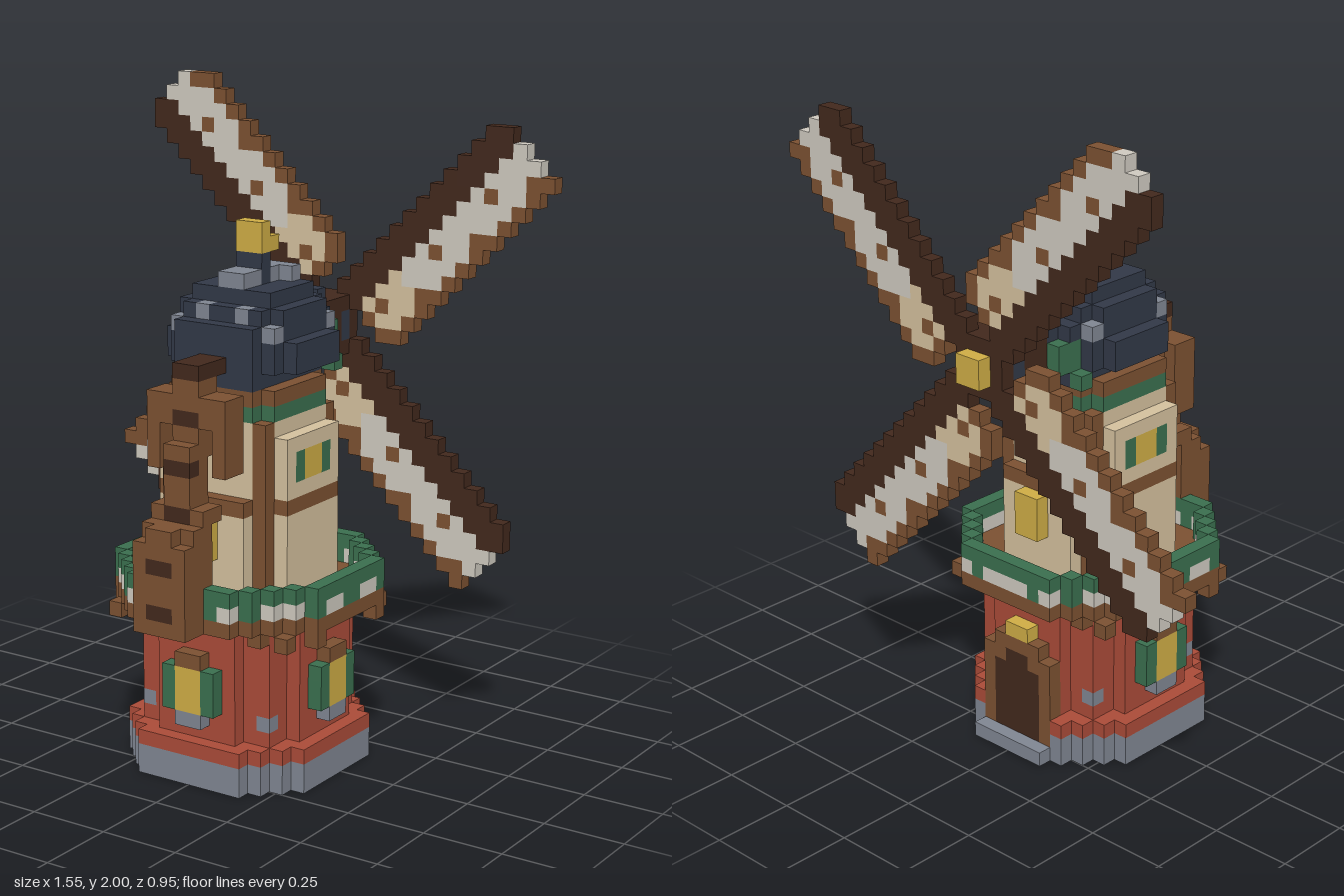
import * as THREE from 'three';

const V = 1 / 22; // edge of one block

const COLORS = {
  brickRed: 0xac4c39, timberBrown: 0x7d5232, darkTimber: 0x43291d, plasterTan: 0xd6c29f, sailWhite: 0xd0cbc1,
  stoneGrey: 0x818793, roofSlate: 0x323948, paintGreen: 0x3b704f, lampGold: 0xd0ae46,
};

// Six face directions, each with two in-plane axes (u x v = n)
const FACES = [
  [[1, 0, 0], [0, 1, 0], [0, 0, 1]], [[-1, 0, 0], [0, 0, 1], [0, 1, 0]],
  [[0, 1, 0], [0, 0, 1], [1, 0, 0]], [[0, -1, 0], [1, 0, 0], [0, 0, 1]],
  [[0, 0, 1], [1, 0, 0], [0, 1, 0]], [[0, 0, -1], [0, 1, 0], [1, 0, 0]],
];

export function createModel() {
  const blocks = new Map();
  const key = (x, y, z) => `${x},${y},${z}`;
  const set = (part, color, x, y, z) => blocks.set(key(x, y, z), { part, color, p: [x, y, z] });

  // Box between block edges [x0,x1) [y0,y1) [z0,z1)
  const box = (part, color, x0, x1, y0, y1, z0, z1) => {
    for (let x = x0; x < x1; x++) for (let y = y0; y < y1; y++) for (let z = z0; z < z1; z++) set(part, color, x, y, z);
  };
  // Stepped octagon test: half widths rx, rz, diagonal limit s, centre zc
  const inOct = (x, z, rx, rz, s, zc = 0) => {
    const a = Math.abs(x + 0.5), b = Math.abs(z + 0.5 - zc);
    return a < rx && b < rz && a + b <= s;
  };
  // Octagonal layer, optionally hollow; color may be a function of the cell
  const oct = (part, color, y0, y1, shape, hole) => {
    for (let x = -9; x < 9; x++) for (let z = -9; z < 9; z++) {
      if (!inOct(x, z, ...shape) || (hole && inOct(x, z, ...hole))) continue;
      const c = typeof color === 'function' ? color(x, z) : color;
      for (let y = y0; y < y1; y++) set(part, c, x, y, z);
    }
  };
  // Box placed on one of the four walls: t along the wall, d outward depth
  const onWall = (side, part, color, t0, t1, y0, y1, d0, d1) => {
    if (side === 'front') box(part, color, t0, t1, y0, y1, d0, d1);
    if (side === 'back') box(part, color, t0, t1, y0, y1, -d1, -d0);
    if (side === 'left') box(part, color, d0, d1, y0, y1, t0, t1);
    if (side === 'right') box(part, color, -d1, -d0, y0, y1, t0, t1);
  };
  // Same column at the four diagonal corners
  const corners = (part, color, c, y0, y1) => {
    for (const x of [c, -c - 1]) for (const z of [c, -c - 1]) box(part, color, x, x + 1, y0, y1, z, z + 1);
  };

  // Hollow brick base on a stone footing
  oct('brickBase', 'brickRed', 1, 11, [6, 6, 8], [5, 5, 6]);
  oct('footing', 'stoneGrey', 0, 1, [7, 7, 10], [5, 5, 6]);
  oct('footing', 'stoneGrey', 1, 2, [7, 7, 10], [6, 6, 8]);
  oct('brickSkirt', 'brickRed', 2, 3, [7, 7, 10], [6, 6, 8]);
  corners('cornerPillar', 'brickRed', 4, 2, 11);
  corners('cornerStone', 'stoneGrey', 4, 2, 3);
  corners('cornerStone', 'stoneGrey', 4, 4, 5);

  // Lower windows with shutters, sill and lintel
  for (const side of ['front', 'left', 'right']) {
    onWall(side, 'lowerShutter', 'paintGreen', -2, 2, 5, 8, 6, 7);
    onWall(side, 'lowerWindow', 'lampGold', -1, 1, 5, 8, 6, 7);
    onWall(side, 'windowSill', 'stoneGrey', -1, 1, 4, 5, 6, 7);
    onWall(side, 'windowLintel', 'timberBrown', -1, 1, 8, 9, 6, 7);
  }

  // Arched door at the back
  box('doorFrame', 'timberBrown', -3, 3, 1, 7, -7, -6);
  box('doorFrame', 'timberBrown', -2, 2, 7, 8, -7, -6);
  box('door', 'darkTimber', -2, 2, 1, 6, -7, -6);
  box('door', 'darkTimber', -1, 1, 6, 7, -7, -6);
  box('doorLamp', 'lampGold', -1, 1, 8, 9, -7, -6);
  box('doorStep', 'stoneGrey', -3, 3, 0, 1, -8, -6);

  // Balcony: brackets, floor, balusters and rail
  for (const x of [-8, 7]) for (const z of [-4, 3]) box('balconyBracket', 'timberBrown', x, x + 1, 10, 11, z, z + 1);
  for (const x of [-7, -5, 4, 6]) for (const z of [-6, 5]) box('balconyBracket', 'timberBrown', x, x + 1, 10, 11, z, z + 1);
  oct('balconyFloor', 'timberBrown', 11, 12, [8, 8, 11]);
  oct('baluster', (x, z) => {
    const i = (Math.floor(Math.abs(x + 0.5)) + 2 * Math.floor(Math.abs(z + 0.5))) % 3;
    return i === 1 ? 'paintGreen' : 'sailWhite';
  }, 12, 13, [8, 8, 11], [7, 7, 10]);
  oct('balconyRail', 'paintGreen', 13, 14, [8, 8, 11], [7, 7, 10]);

  // Plaster tower with timber bands and corner posts
  oct('lowerTower', 'plasterTan', 12, 18, [5, 5, 7]);
  oct('timberBand', 'timberBrown', 18, 19, [5, 5, 7]);
  oct('upperTower', 'plasterTan', 19, 24, [4, 4, 6]);
  oct('greenBand', 'paintGreen', 24, 25, [4, 4, 6]);
  oct('timberCollar', 'timberBrown', 25, 26, [4, 4, 6]);
  corners('cornerPost', 'timberBrown', 3, 12, 24);

  // Tower windows
  for (const side of ['left', 'right']) {
    onWall(side, 'windowBay', 'plasterTan', -3, 3, 19, 23, 4, 5);
    onWall(side, 'upperShutter', 'paintGreen', -2, 2, 20, 22, 4, 5);
    onWall(side, 'upperWindow', 'lampGold', -1, 1, 20, 22, 4, 5);
  }
  for (const side of ['front', 'back']) onWall(side, 'middleWindow', 'lampGold', -1, 1, 15, 18, 5, 6);

  // Stepped timber chute on the front, with a two-legged head
  box('chute', 'timberBrown', -2, 2, 11, 17, 8, 10);
  box('chute', 'timberBrown', -2, 2, 14, 18, 7, 9);
  box('chute', 'timberBrown', -1, 1, 17, 18, 8, 10);
  box('chute', 'timberBrown', -2, 2, 18, 19, 6, 8);
  box('chute', 'timberBrown', -1, 1, 18, 23, 6, 8);
  box('chute', 'timberBrown', -1, 1, 22, 24, 5, 7);
  for (const x of [-3, 2]) box('chuteLeg', 'timberBrown', x, x + 1, 21, 24, 5, 7);
  box('chuteHead', 'timberBrown', -3, 3, 24, 26, 5, 7);
  box('chuteHead', 'timberBrown', -1, 1, 26, 27, 5, 7);
  box('hoistBeam', 'darkTimber', -1, 1, 27, 28, 4, 7);
  for (const [y, z] of [[12, 9], [15, 9], [18, 7], [21, 7], [24, 6]]) box('chuteHatch', 'darkTimber', -1, 1, y, y + 1, z, z + 1);

  // Slate cap in shrinking layers
  [
    [26, 27, 3, 4.5, 6.5], [27, 29, 5, 4.5, 6.5], [29, 30, 4, 4.5, 6.5], [30, 31, 4, 3.5, 5.5],
    [31, 32, 3, 2.5, 4.5], [32, 34, 1, 0.5, 1],
  ].forEach(([y0, y1, rx, rz, s]) => oct('roof', 'roofSlate', y0, y1, [rx, rz, s, -0.5]));
  for (const x of [-4, 3]) for (const z of [-4, 2]) box('roofStone', 'stoneGrey', x, x + 1, 29, 30, z, z + 1);
  box('roofStone', 'stoneGrey', -2, 2, 32, 33, -3, -2);
  box('roofStone', 'stoneGrey', -1, 1, 32, 33, -2, -1);
  box('roofStone', 'stoneGrey', -1, 1, 32, 33, 0, 2);
  for (const x of [-2, 1]) box('roofStone', 'stoneGrey', x, x + 1, 30, 31, 2, 3);
  box('finial', 'lampGold', -1, 1, 34, 36, -1, 0);
  box('finial', 'lampGold', -1, 1, 34, 35, -2, -1);

  // Dormer, axle housing and hub at the back
  box('dormer', 'paintGreen', -3, 3, 27, 29, -6, -4);
  for (const x of [-4, 3]) box('dormer', 'paintGreen', x, x + 1, 26, 27, -5, -4);
  box('dormerRoof', 'roofSlate', -2, 2, 29, 30, -6, -3);
  box('dormerRoof', 'roofSlate', -2, 2, 30, 31, -6, -5);
  box('axle', 'darkTimber', -2, 2, 26, 30, -9, -6);
  box('dormerSill', 'stoneGrey', -2, 2, 26, 27, -6, -5);
  for (const x of [-2, 1]) box('axleBand', 'roofSlate', x, x + 1, 27, 29, -9, -8);
  box('hub', 'lampGold', -1, 1, 27, 29, -11, -10);

  // Four sails, each a quarter turn from the last: d runs across, s along
  for (let x = -1; x < 17; x++) for (let y = -2; y < 14; y++) {
    const d = x - y, s = x + y;
    let part = 'sailCloth', color = null;
    if (s >= 0 && s <= 26 && Math.abs(d) <= 1 && x < 14) {
      part = 'sailSpar';
      color = 'darkTimber';
    } else if (s >= 3 && s <= 26 && d >= 2 && d <= 6) {
      const lath = d === 6 || s < 4 || (d === 3 && s % 8 === 5) || (d === 5 && s % 8 === 1);
      if (lath) part = 'sailLath';
      color = lath ? 'timberBrown' : s < 9 ? 'plasterTan' : 'sailWhite';
    }
    if (!color) continue;
    for (let i = 0, a = x, b = y; i < 4; i++, [a, b] = [b, -a - 1]) if (b < 16) set(part, color, a, 28 + b, -10);
  }

  // Gather the exposed block faces of each part and colour
  const groups = new Map();
  for (const { part, color, p } of blocks.values()) {
    const id = part + '|' + color;
    if (!groups.has(id)) groups.set(id, { part, color, pos: [], nor: [], idx: [] });
    const g = groups.get(id);
    for (const [n, u, v] of FACES) {
      if (blocks.has(key(p[0] + n[0], p[1] + n[1], p[2] + n[2]))) continue;
      const base = g.pos.length / 3;
      for (const [a, b] of [[-1, -1], [1, -1], [1, 1], [-1, 1]]) {
        for (let k = 0; k < 3; k++) {
          const c = p[k] + 0.5 + (n[k] + a * u[k] + b * v[k]) / 2;
          g.pos.push((k === 2 ? c + 0.5 : c) * V);
        }
        g.nor.push(...n);
      }
      g.idx.push(base, base + 1, base + 2, base, base + 2, base + 3);
    }
  }

  const materials = {};
  for (const [name, color] of Object.entries(COLORS)) {
    materials[name] = new THREE.MeshStandardMaterial({ color });
    materials[name].name = name;
  }
  const model = new THREE.Group();
  model.name = 'windmill';
  for (const { part, color, pos, nor, idx } of groups.values()) {
    if (!idx.length) continue;
    const geo = new THREE.BufferGeometry();
    geo.setAttribute('position', new THREE.Float32BufferAttribute(pos, 3));
    geo.setAttribute('normal', new THREE.Float32BufferAttribute(nor, 3));
    geo.setIndex(idx);
    const mesh = new THREE.Mesh(geo, materials[color]);
    mesh.name = part;
    model.add(mesh);
  }
  return model;
}
